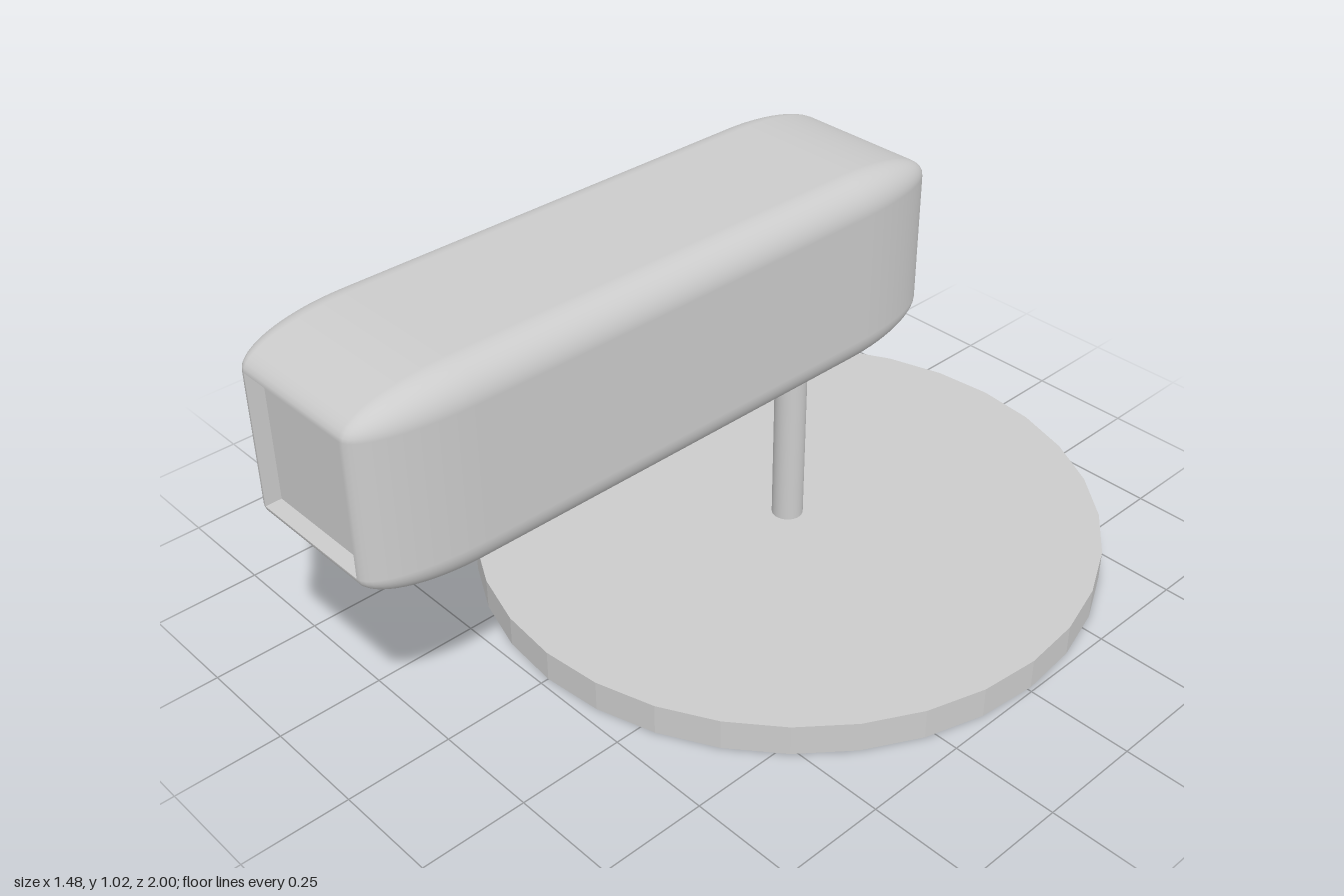
import * as THREE from 'three';
import { RoundedBoxGeometry } from 'three/addons/geometries/RoundedBoxGeometry.js';

const WIDTH = 0.44, LENGTH = 1.48, MID_Y = 0.805, MID_Z = 0.26;
const OPENING = 0.296;   // side of the square front opening
const DEPTH = 0.035;     // depth of the recessed panel
const BASE_Z = -0.26, BASE_TOP = 0.075;

// Rounded box stretched along z, with its flat front square left open
function housingGeometry() {
  const full = new RoundedBoxGeometry(1, 1, 1, 8, (1 - OPENING / WIDTH) / 2);
  full.scale(WIDTH, WIDTH, LENGTH);
  const geometry = full.index ? full.toNonIndexed() : full;
  const pos = geometry.attributes.position;
  const nor = geometry.attributes.normal;
  const points = [], normals = [];
  const onFront = (i) => pos.getZ(i) > LENGTH / 2 - 1e-4;
  for (let i = 0; i < pos.count; i += 3) {
    if (onFront(i) && onFront(i + 1) && onFront(i + 2)) continue;
    for (let j = i; j < i + 3; j++) {
      points.push(pos.getX(j), pos.getY(j), pos.getZ(j));
      normals.push(nor.getX(j), nor.getY(j), nor.getZ(j));
    }
  }
  const open = new THREE.BufferGeometry();
  open.setAttribute('position', new THREE.Float32BufferAttribute(points, 3));
  open.setAttribute('normal', new THREE.Float32BufferAttribute(normals, 3));
  return open;
}

export function createModel() {
  const model = new THREE.Group();
  const smooth = new THREE.MeshStandardMaterial({ color: 0xcccccc });
  const flat = new THREE.MeshStandardMaterial({ color: 0xcccccc, flatShading: true });
  const thin = new THREE.MeshStandardMaterial({ color: 0xcccccc, side: THREE.DoubleSide });

  const add = (parent, name, geometry, material, x, y, z) => {
    const mesh = new THREE.Mesh(geometry, material);
    mesh.name = name;
    mesh.position.set(x, y, z);
    parent.add(mesh);
    return mesh;
  };

  // Faceted disc base and slim post
  add(model, 'base', new THREE.CylinderGeometry(0.74, 0.74, BASE_TOP, 32), flat, 0, BASE_TOP / 2, BASE_Z);
  const postHeight = 0.55;
  add(model, 'post', new THREE.CylinderGeometry(0.037, 0.037, postHeight, 32), smooth,
    0, BASE_TOP + postHeight / 2 - 0.005, BASE_Z);

  // Long head with a recessed square panel at the front
  const head = new THREE.Group();
  head.name = 'head';
  head.position.set(0, MID_Y, MID_Z);
  model.add(head);
  add(head, 'housing', housingGeometry(), smooth, 0, 0, 0);
  add(head, 'frontPanel', new THREE.PlaneGeometry(OPENING, OPENING), thin, 0, 0, LENGTH / 2 - DEPTH);

  // Four walls of the recess, turned about the z axis
  for (let i = 0; i < 4; i++) {
    const wall = new THREE.PlaneGeometry(OPENING, DEPTH);
    wall.rotateX(-Math.PI / 2);
    wall.translate(0, -OPENING / 2, 0);
    wall.rotateZ(i * Math.PI / 2);
    add(head, 'recessWall', wall, thin, 0, 0, LENGTH / 2 - DEPTH / 2);
  }
  return model;
}
